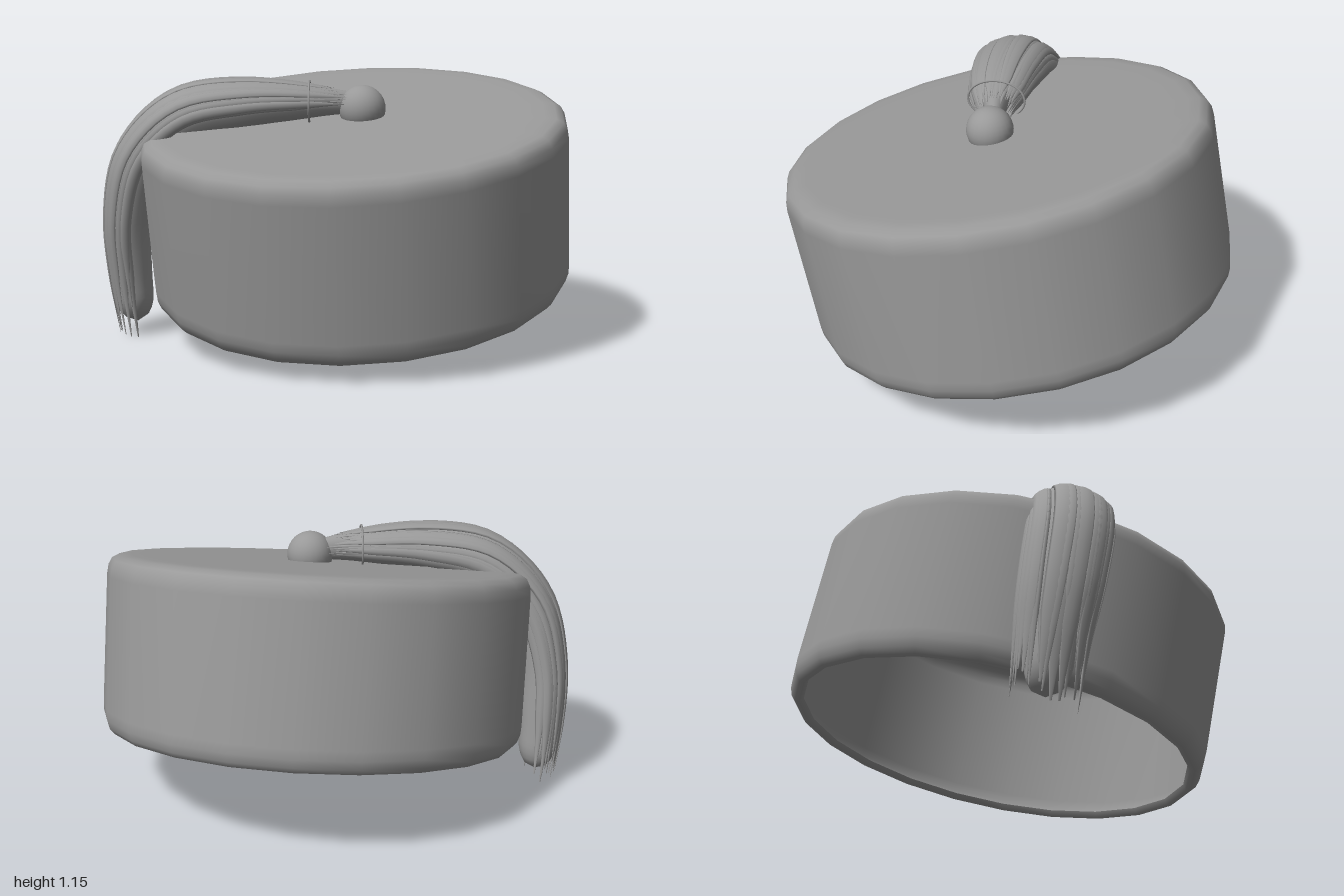
import * as THREE from 'three';

const material = new THREE.MeshStandardMaterial({ color: 0x999999, side: THREE.DoubleSide });
const V = (x, y, z) => new THREE.Vector3(x, y, z);

// Centre line of the tassel: over the crown, then down the side
const path = new THREE.CatmullRomCurve3([
  V(0.08, 1.045, 0.08), V(-0.08, 1.05, 0.15), V(-0.35, 1.04, 0.24), V(-0.6, 0.985, 0.3),
  V(-0.79, 0.81, 0.31), V(-0.88, 0.55, 0.28), V(-0.895, 0.3, 0.24), V(-0.88, 0, 0.2),
]);
// Half width (x) and half thickness (y) along the tassel
const size = new THREE.CatmullRomCurve3([
  V(0.06, 0.05, 0), V(0.13, 0.09, 0), V(0.165, 0.12, 0), V(0.18, 0.13, 0),
  V(0.18, 0.125, 0), V(0.17, 0.11, 0), V(0.15, 0.1, 0), V(0.14, 0.085, 0),
]);
const lateral = V(0.28, 0, 0.96).normalize();

// Point on the bundle: u along it, a around it, k and wide scale its radius
function bundlePoint(u, a, k, wide = 1) {
  const s = size.getPoint(u);
  const normal = path.getTangentAt(u).cross(lateral).normalize();
  return path.getPointAt(u)
    .addScaledVector(normal, Math.cos(a) * s.y * k)
    .addScaledVector(lateral, Math.sin(a) * s.x * k * wide);
}

// Smooth skin over rows of closed cross-sections
function loft(pointAt, rows, sides) {
  const positions = [], index = [];
  for (let i = 0; i <= rows; i++) {
    for (let j = 0; j < sides; j++) {
      positions.push(...pointAt(i / rows, (j / sides) * Math.PI * 2).toArray());
      if (i === rows) continue;
      const a = i * sides + j, b = i * sides + (j + 1) % sides;
      index.push(a, a + sides, b, b, a + sides, b + sides);
    }
  }
  const geometry = new THREE.BufferGeometry();
  geometry.setAttribute('position', new THREE.Float32BufferAttribute(positions, 3));
  geometry.setIndex(index);
  geometry.computeVertexNormals();
  return geometry;
}

function addMesh(parent, geometry, name) {
  const mesh = new THREE.Mesh(geometry, material);
  mesh.name = name;
  parent.add(mesh);
  return mesh;
}

function seeded(seed) {
  return () => (seed = (seed * 16807) % 2147483647) / 2147483647;
}

export function createModel() {
  const model = new THREE.Group();
  model.name = 'tasselledHat';

  // Hollow drum-shaped cap, tipped forward, with rolled edges
  const profile = [
    [0.85, -0.35], [0.865, -0.374], [0.885, -0.372], [0.905, -0.35], [0.917, -0.315], [0.92, -0.275],
    [0.92, 0.285], [0.915, 0.325], [0.9, 0.355], [0.87, 0.372], [0.82, 0.376], [0.75, 0.376], [0, 0.376],
  ].map(([r, y]) => new THREE.Vector2(r, y));
  const cap = addMesh(model, new THREE.LatheGeometry(profile, 22), 'cap');
  cap.position.set(0.08, 0.62, 0);
  cap.rotation.set(0.205, Math.PI / 22 + 0.035, 0);

  // Round button sunk into the middle of the crown
  const button = addMesh(model, new THREE.SphereGeometry(0.1, 24, 16), 'button');
  button.position.set(0.125, 1.02, 0.075);

  const tassel = new THREE.Group();
  tassel.name = 'tassel';
  model.add(tassel);

  // Narrow core with a rounded tip
  addMesh(tassel, loft((t, a) => {
    const u = t * 0.97;
    const tip = Math.sqrt(Math.max(0, 1 - Math.max(0, (t - 0.93) / 0.07) ** 2));
    return bundlePoint(u, a, 0.9 * tip, 0.6 + 0.1 * t);
  }, 60, 24), 'tasselCore');

  // Broad flat locks arching over the core, each tapering at its own length
  const random = seeded(71);
  const count = 30;
  for (let i = 0; i < count; i++) {
    const angle = ((i + random() * 0.8) / count - 0.5) * 3.8;
    const start = 0.01 + random() * 0.05;
    const end = 0.88 + random() * 0.12;
    const radius = 0.88 + random() * 0.1;
    const width = 0.12 + random() * 0.12;
    const sway = (random() - 0.5) * 0.35;
    addMesh(tassel, loft((t, s) => {
      const u = start + (end - start) * t;
      const taper = Math.min(1, t * 12 + 0.1, (1 - t) * 5 + 0.15);
      return bundlePoint(u,
        angle + sway * Math.sin(t * 3) + width * taper * Math.sin(s),
        radius + 0.06 * taper * Math.cos(s));
    }, 36, 8), 'lock');
  }

  // Thin thread tied around the gathered end
  const loop = Array.from({ length: 24 }, (_, i) => bundlePoint(0.1, (i / 24) * Math.PI * 2, 1.12));
  addMesh(tassel, new THREE.TubeGeometry(new THREE.CatmullRomCurve3(loop, true), 48, 0.005, 6, true), 'binding');

  return model;
}
